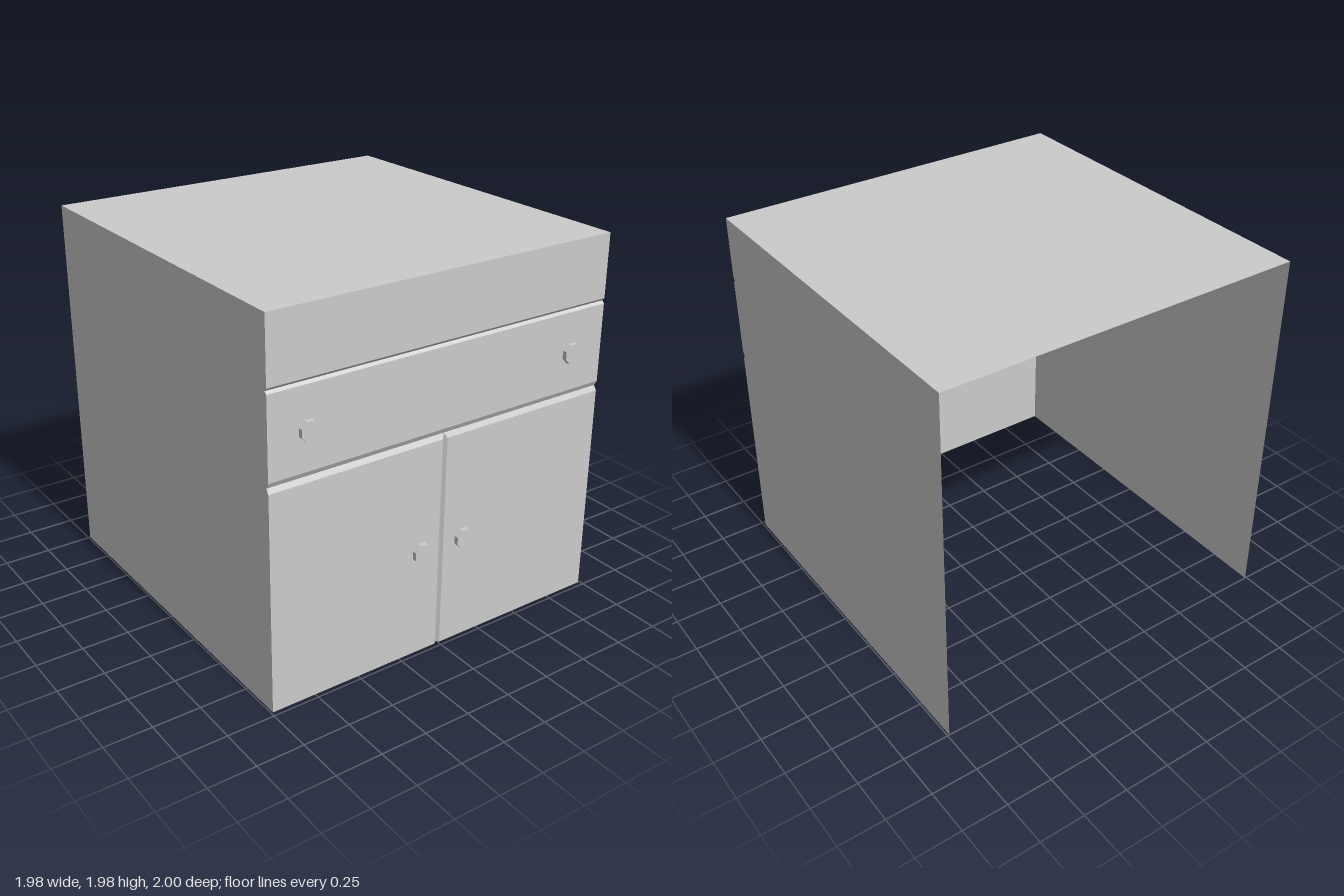
import * as THREE from 'three';

const W = 0.99, H = 1.98, FRONT = 0.975, BACK = -1, DEEP = 0.96;
const KNOB_R = 0.054;
const material = new THREE.MeshStandardMaterial({ color: 0xcccccc, flatShading: true, side: THREE.DoubleSide });

export function createModel() {
  const model = new THREE.Group();
  model.name = 'cabinet';

  const add = (name, geometry, x = 0, y = 0, z = 0) => {
    const mesh = new THREE.Mesh(geometry, material);
    mesh.name = name;
    mesh.position.set(x, y, z);
    model.add(mesh);
  };

  // Four-cornered face, corners counter-clockwise from outside
  const addQuad = (name, ...corners) => {
    const g = new THREE.BufferGeometry();
    g.setAttribute('position', new THREE.Float32BufferAttribute(corners.flat(), 3));
    g.setIndex([0, 1, 2, 0, 2, 3]);
    g.computeVertexNormals();
    add(name, g);
  };

  // Flat front panel with an octagonal hole and a hollow knob at each given point
  const addPanel = (name, x0, x1, y0, y1, knobs = []) => {
    const shape = new THREE.Shape([[x0, y0], [x1, y0], [x1, y1], [x0, y1]].map(p => new THREE.Vector2(...p)));
    for (const [kx, ky] of knobs) {
      const ring = [];
      for (let i = 0; i < 8; i++) {
        const a = -(i + 0.5) * Math.PI / 4;
        ring.push(new THREE.Vector2(kx + KNOB_R * Math.cos(a), ky + KNOB_R * Math.sin(a)));
      }
      shape.holes.push(new THREE.Path(ring));
      const profile = [[KNOB_R, 0], [KNOB_R, 1 - FRONT], [0, 1 - FRONT]].map(p => new THREE.Vector2(...p));
      const knob = new THREE.LatheGeometry(profile, 8, Math.PI / 8);
      knob.rotateX(Math.PI / 2);
      add('knob', knob, kx, ky, FRONT);
    }
    add(name, new THREE.ShapeGeometry(shape), 0, 0, FRONT);
  };

  // Side walls, notched where the front grooves run out
  const sideShape = new THREE.Shape([
    [BACK, 0], [FRONT, 0], [FRONT, 1.145], [DEEP, 1.17], [FRONT, 1.198],
    [FRONT, 1.615], [DEEP + 0.002, 1.628], [FRONT, 1.643], [FRONT, H], [BACK, H],
  ].map(p => new THREE.Vector2(...p)));
  for (const s of [1, -1]) {
    const g = new THREE.ShapeGeometry(sideShape);
    g.rotateY(-Math.PI / 2);
    add(s > 0 ? 'leftSide' : 'rightSide', g, s * W);
  }

  // Top; the back and the underside stay open
  addQuad('top', [-W, H, FRONT], [W, H, FRONT], [W, H, BACK], [-W, H, BACK]);

  // Upper band, drawer and the groove between them
  addPanel('upperBand', -W, W, 1.643, H);
  addPanel('drawerFront', -W, W, 1.198, 1.615, [[-0.78, 1.4], [0.78, 1.4]]);
  const z1 = DEEP + 0.002;
  addQuad('upperGrooveTop', [-W, 1.628, z1], [W, 1.628, z1], [W, 1.643, FRONT], [-W, 1.643, FRONT]);
  addQuad('upperGrooveBottom', [-W, 1.615, FRONT], [W, 1.615, FRONT], [W, 1.628, z1], [-W, 1.628, z1]);
  addQuad('lowerGrooveTop', [-W, 1.17, DEEP], [W, 1.17, DEEP], [W, 1.198, FRONT], [-W, 1.198, FRONT]);

  // Doors with bevelled top and meeting edges
  addPanel('rightDoor', -W, -0.022, 0, 1.145, [[-0.13, 0.57]]);
  addPanel('leftDoor', 0.008, W, 0, 1.145, [[0.13, 0.57]]);
  const apexX = -0.004;
  addQuad('rightDoorTopBevel', [-W, 1.145, FRONT], [-0.022, 1.145, FRONT], [apexX, 1.17, DEEP], [-W, 1.17, DEEP]);
  addQuad('leftDoorTopBevel', [0.008, 1.145, FRONT], [W, 1.145, FRONT], [W, 1.17, DEEP], [apexX, 1.17, DEEP]);
  addQuad('rightDoorEdge', [-0.022, 0, FRONT], [apexX, 0, DEEP], [apexX, 1.17, DEEP], [-0.022, 1.145, FRONT]);
  addQuad('leftDoorEdge', [apexX, 0, DEEP], [0.008, 0, FRONT], [0.008, 1.145, FRONT], [apexX, 1.17, DEEP]);

  return model;
}
